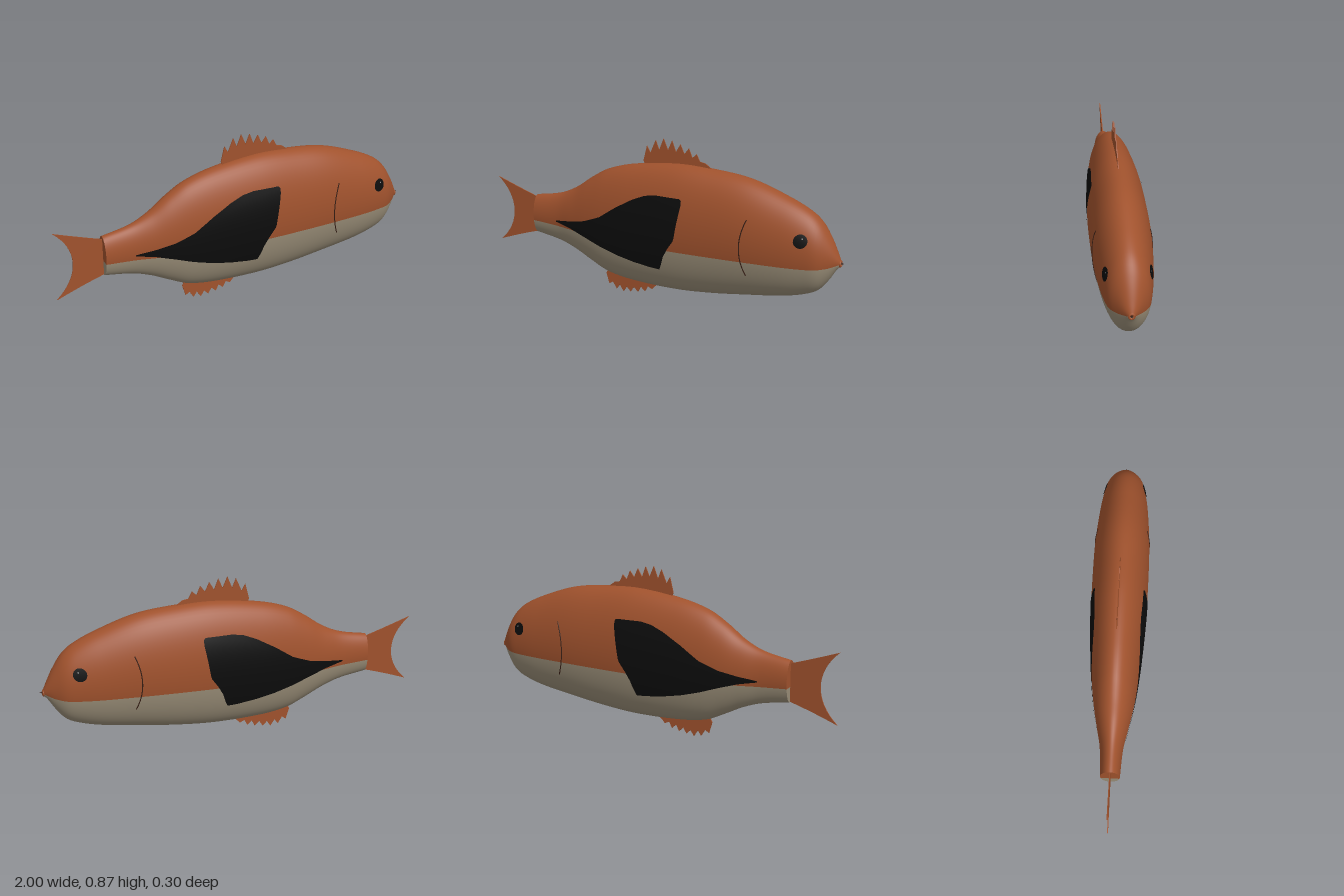
import * as THREE from 'three';

// Body stations: x, top, bottom, half width, height of the colour line
const STATIONS = [
  [-0.75, 0.475, 0.262, 0.05, 0.34], [-0.6, 0.505, 0.235, 0.06, 0.333],
  [-0.5, 0.55, 0.2, 0.08, 0.33], [-0.4, 0.62, 0.15, 0.1, 0.328],
  [-0.3, 0.677, 0.105, 0.115, 0.327], [-0.15, 0.72, 0.081, 0.13, 0.325],
  [0.1, 0.752, 0.074, 0.145, 0.325], [0.3, 0.746, 0.088, 0.148, 0.328],
  [0.5, 0.722, 0.114, 0.145, 0.331], [0.7, 0.656, 0.144, 0.13, 0.332],
  [0.82, 0.6, 0.176, 0.112, 0.333], [0.88, 0.55, 0.208, 0.095, 0.335],
  [0.93, 0.475, 0.27, 0.06, 0.34], [0.96, 0.415, 0.32, 0.034, 0.348],
  [0.982, 0.368, 0.344, 0.012, 0.355],
];
const X0 = STATIONS[0][0], X1 = STATIONS[STATIONS.length - 1][0];

// Smooth body section at any x (cubic through the stations)
function section(x) {
  const n = STATIONS.length;
  let i = 0;
  while (i < n - 2 && x > STATIONS[i + 1][0]) i++;
  const a = STATIONS[i], b = STATIONS[i + 1], d = b[0] - a[0], t = (x - a[0]) / d;
  const slope = (k, c) => {
    const p = STATIONS[Math.max(k - 1, 0)], q = STATIONS[Math.min(k + 1, n - 1)];
    return (q[c] - p[c]) / (q[0] - p[0]);
  };
  const [top, bottom, w, line] = [1, 2, 3, 4].map((c) =>
    (2 * t ** 3 - 3 * t * t + 1) * a[c] + (t ** 3 - 2 * t * t + t) * d * slope(i, c) +
    (3 * t * t - 2 * t ** 3) * b[c] + (t ** 3 - t * t) * d * slope(i + 1, c));
  return { c: (top + bottom) / 2, h: (top - bottom) / 2, w, line };
}

function sideZ(x, y) {
  const s = section(x);
  return s.w * Math.sqrt(Math.max(0, 1 - ((y - s.c) / s.h) ** 2));
}

function geometryFrom(positions, index) {
  const g = new THREE.BufferGeometry();
  g.setAttribute('position', new THREE.Float32BufferAttribute(positions, 3));
  g.setIndex(index);
  g.computeVertexNormals();
  return g;
}

// Lofted body with a back half and a belly half meeting on the colour line
function bodyGeometry() {
  const UP = 18, LOW = 14, RING = 2 * (UP + LOW), N = 110;
  const pos = [], upper = [], lower = [];
  const ring = (x, scale) => {
    const s = section(x);
    const split = Math.acos(THREE.MathUtils.clamp((s.line - s.c) / s.h, -1, 1));
    for (let j = 0; j < RING; j++) {
      const k = Math.min(j, RING - j);
      let a = k <= UP ? (split * k) / UP : split + ((Math.PI - split) * (k - UP)) / LOW;
      if (j !== k) a = -a;
      const y = s.c + s.h * Math.cos(a);
      pos.push(x, s.line + (y - s.line) * scale, s.w * Math.sin(a) * scale);
    }
  };
  ring(X0, 0); // flat cap at the tail root
  ring(X0, 1);
  for (let i = 0; i <= N; i++) ring(X0 + (X1 - X0) * (i / N), 1);
  ring(X1, 0);
  for (let i = 0; i < N + 3; i++) {
    if (i === 1) continue; // sharp edge round the cap
    for (let j = 0; j < RING; j++) {
      const a = i * RING + j, b = i * RING + ((j + 1) % RING), c = a + RING, d = b + RING;
      (j < UP || j >= RING - UP ? upper : lower).push(a, b, c, b, d, c);
    }
  }
  const g = geometryFrom(pos, [...upper, ...lower]);
  g.addGroup(0, upper.length, 0);
  g.addGroup(upper.length, lower.length, 1);
  return g;
}

// Thin skin lying on one flank, given as columns of [x, low y, high y]
function flankPatch(columns, side, lift) {
  const M = 12, pos = [], index = [];
  columns.forEach(([x, lo, hi], i) => {
    for (let j = 0; j <= M; j++) {
      const y = lo + ((hi - lo) * j) / M;
      pos.push(x, y, side * (sideZ(x, y) + lift));
      if (i && j) {
        const d = i * (M + 1) + j, c = d - 1, b = d - M - 1, a = b - 1;
        if (side > 0) index.push(a, c, b, c, d, b);
        else index.push(a, b, c, c, b, d);
      }
    }
  });
  return geometryFrom(pos, index);
}

const discColumns = (cx, cy, r) => Array.from({ length: 21 }, (_, i) => {
  const a = Math.PI * (1 - i / 20), d = r * Math.sin(a);
  return [cx + r * Math.cos(a), cy - d, cy + d];
});

function lerpAlong(points, x) {
  let i = 0;
  while (i < points.length - 2 && x > points[i + 1][0]) i++;
  const [a, b] = [points[i], points[i + 1]];
  return a[1] + ((b[1] - a[1]) * (x - a[0])) / (b[0] - a[0]);
}

const FLANK_TOP = [[-0.6, 0.363], [-0.5, 0.378], [-0.4, 0.4], [-0.3, 0.44], [-0.2, 0.508],
  [-0.1, 0.565], [-0.03, 0.594], [0.03, 0.605], [0.172, 0.605], [0.18, 0.595]];
const FLANK_LOW = [[-0.6, 0.357], [-0.5, 0.338], [-0.4, 0.308], [-0.3, 0.274], [-0.2, 0.246],
  [-0.1, 0.226], [0, 0.213], [0.055, 0.21], [0.068, 0.24], [0.085, 0.29], [0.11, 0.335],
  [0.148, 0.39], [0.16, 0.46], [0.18, 0.57]];

const DORSAL = [[-0.08, 0.71], [-0.095, 0.745], [-0.075, 0.825], [-0.055, 0.79], [-0.025, 0.86],
  [-0.005, 0.81], [0.02, 0.873], [0.045, 0.815], [0.068, 0.867], [0.09, 0.81], [0.115, 0.853],
  [0.137, 0.805], [0.162, 0.837], [0.182, 0.79], [0.205, 0.812], [0.225, 0.775], [0.255, 0.77],
  [0.29, 0.745], [0.28, 0.72]];
const ANAL = [[-0.3, 0.14], [-0.325, 0.09], [-0.307, 0.03], [-0.285, 0.045], [-0.262, 0.008],
  [-0.243, 0.035], [-0.22, 0], [-0.2, 0.03], [-0.177, 0.006], [-0.157, 0.036], [-0.132, 0.012],
  [-0.115, 0.045], [-0.09, 0.023], [-0.073, 0.055], [-0.048, 0.042], [-0.03, 0.062],
  [-0.005, 0.08], [-0.02, 0.12]];

function finGeometry(shape) {
  const depth = 0.005;
  return new THREE.ExtrudeGeometry(shape, { depth, bevelEnabled: false, curveSegments: 16 })
    .translate(0, 0, -depth / 2);
}
const polygon = (points) => new THREE.Shape(points.map(([x, y]) => new THREE.Vector2(x, y)));

export function createModel() {
  const material = (name, color) => {
    const m = new THREE.MeshStandardMaterial({ color });
    m.name = name;
    return m;
  };
  const rust = material('rust', 0xa0522d);
  const cream = material('cream', 0x9a8e78);
  const black = material('black', 0x0c0c0c);
  const brown = material('dark brown', 0x3a2016);
  const grey = material('glint grey', 0x8a8a8a);

  const model = new THREE.Group();
  model.name = 'fish';
  const add = (name, geometry, mat) => {
    const mesh = new THREE.Mesh(geometry, mat);
    mesh.name = name;
    model.add(mesh);
    return mesh;
  };

  add('body', bodyGeometry(), [rust, cream]);

  // Fins
  const tail = new THREE.Shape();
  tail.moveTo(-0.74, 0.457);
  tail.quadraticCurveTo(-0.86, 0.495, -1, 0.545);
  tail.bezierCurveTo(-0.875, 0.44, -0.875, 0.29, -1, 0.182);
  tail.quadraticCurveTo(-0.86, 0.235, -0.74, 0.268);
  add('tailFin', finGeometry(tail), rust);
  add('dorsalFin', finGeometry(polygon(DORSAL)), rust);
  add('analFin', finGeometry(polygon(ANAL)), rust);

  // Flank markings, eyes and gill lines, on both sides
  const flank = Array.from({ length: 157 }, (_, i) => {
    const x = -0.6 + i * 0.005;
    return [x, lerpAlong(FLANK_LOW, x), lerpAlong(FLANK_TOP, x)];
  });
  for (const side of [1, -1]) {
    const label = side > 0 ? 'right' : 'left';
    add(label + 'FlankPatch', flankPatch(flank, side, 0.003), black);
    add(label + 'Eye', flankPatch(discColumns(0.806, 0.475, 0.034), side, 0.003), black);
    add(label + 'EyeGlint', flankPatch(discColumns(0.815, 0.488, 0.004), side, 0.005), grey);
    const gill = [];
    for (let i = 0; i <= 16; i++) {
      const t = i / 8 - 1, x = 0.503 + 0.032 * t * t, y = 0.405 + 0.145 * t;
      gill.push(new THREE.Vector3(x, y, side * sideZ(x, y)));
    }
    add(label + 'GillLine',
      new THREE.TubeGeometry(new THREE.CatmullRomCurve3(gill), 40, 0.003, 6), brown);
  }

  // Small pursed mouth
  add('lips', new THREE.TorusGeometry(0.012, 0.006, 10, 24).rotateY(Math.PI / 2)
    .translate(0.979, 0.355, 0), rust);
  add('mouth', new THREE.ConeGeometry(0.007, 0.022, 12).rotateZ(-Math.PI / 2)
    .translate(0.989, 0.358, 0), brown);

  return model;
}
